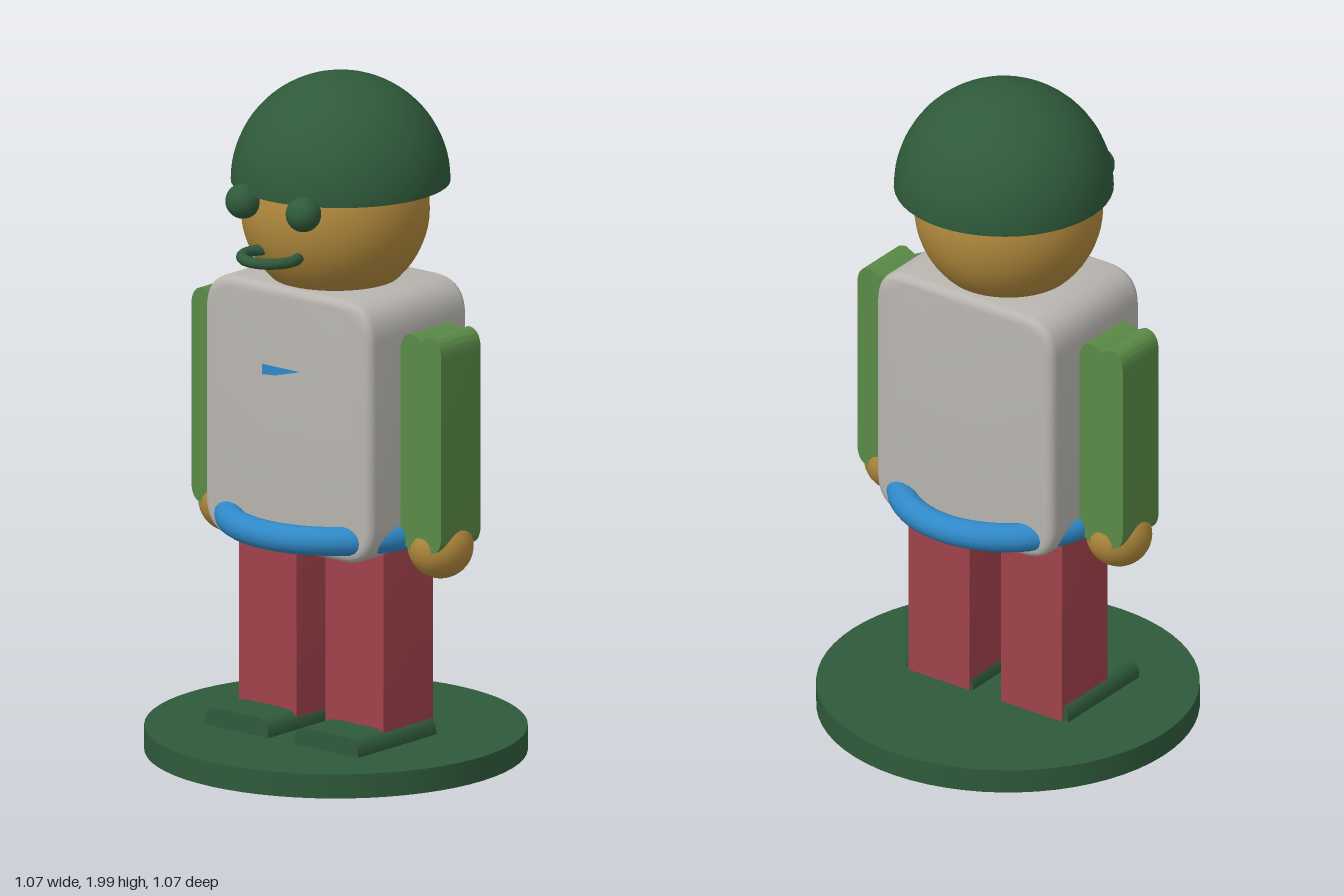
import * as THREE from 'three';
import { toCreasedNormals } from 'three/addons/utils/BufferGeometryUtils.js';

const paint = (name, color, side = THREE.FrontSide) => {
  const m = new THREE.MeshStandardMaterial({ color, side });
  m.name = name;
  return m;
};

// Rectangle with rounded corners, centred on the origin
function roundedRect(w, h, r) {
  const s = new THREE.Shape(), x = w / 2, y = h / 2;
  s.moveTo(-x + r, -y);
  s.lineTo(x - r, -y);
  s.quadraticCurveTo(x, -y, x, -y + r);
  s.lineTo(x, y - r);
  s.quadraticCurveTo(x, y, x - r, y);
  s.lineTo(-x + r, y);
  s.quadraticCurveTo(-x, y, -x, y - r);
  s.lineTo(-x, -y + r);
  s.quadraticCurveTo(-x, -y, -x + r, -y);
  return s;
}

// Limb outline: each end has two rounded lobes with a shallow crease between
function limbShape(w, h, r, dip) {
  const s = new THREE.Shape(), x = w / 2, y = h / 2, lobe = w * 0.2;
  s.moveTo(-x, -y + r);
  s.quadraticCurveTo(-x, -y, -lobe, -y);
  s.lineTo(0, -y + dip);
  s.lineTo(lobe, -y);
  s.quadraticCurveTo(x, -y, x, -y + r);
  s.lineTo(x, y - r);
  s.quadraticCurveTo(x, y, lobe, y);
  s.lineTo(0, y - dip);
  s.lineTo(-lobe, y);
  s.quadraticCurveTo(-x, y, -x, y - r);
  s.lineTo(-x, -y + r);
  return s;
}

// Extrude along z, centred, with an optional rounded edge
function slab(shape, depth, bevel = 0) {
  const g = new THREE.ExtrudeGeometry(shape, {
    depth: depth - 2 * bevel, curveSegments: 10, bevelEnabled: bevel > 0,
    bevelSize: bevel, bevelThickness: bevel, bevelOffset: -bevel, bevelSegments: 4,
  });
  g.translate(0, 0, bevel - depth / 2);
  return toCreasedNormals(g, 0.6);
}

export function createModel() {
  const model = new THREE.Group();
  const darkGreen = paint('dark green', 0x2f5a3a);
  const helmetGreen = darkGreen;
  helmetGreen.side = THREE.DoubleSide; // the helmet is an open shell
  const leafGreen = paint('leaf green', 0x5a8a47);
  const grey = paint('shirt grey', 0xb8b5b0);
  const red = paint('trouser red', 0xa0424a);
  const skin = paint('ochre skin', 0xb0883c);
  const blue = paint('belt blue', 0x3089c8);

  const add = (name, geometry, material, x, y, z) => {
    const mesh = new THREE.Mesh(geometry, material);
    mesh.name = name;
    mesh.position.set(x, y, z);
    model.add(mesh);
    return mesh;
  };

  // Stand
  add('base', new THREE.CylinderGeometry(0.537, 0.537, 0.07, 64), darkGreen, 0, 0.08, 0);

  // Body and belt ring
  add('torso', slab(roundedRect(0.615, 0.76, 0.11), 0.425, 0.025), grey, 0, 1.04, 0);
  add('belt', new THREE.TorusGeometry(0.3, 0.041, 16, 64), blue, 0, 0.726, 0).rotation.x = Math.PI / 2;

  // Small chest mark, nearly flush with the shirt
  const mark = new THREE.Shape([
    new THREE.Vector2(-0.09, 0), new THREE.Vector2(-0.09, -0.03),
    new THREE.Vector2(-0.04, -0.025), new THREE.Vector2(0.05, 0),
  ]);
  add('chestMark', slab(mark, 0.004), blue, 0, 1.188, 0.212);

  // Head, helmet and mouth ring
  add('head', new THREE.SphereGeometry(0.265, 48, 32), skin, 0, 1.615, 0.003);
  add('helmet', new THREE.SphereGeometry(0.308, 48, 20, 0, Math.PI * 2, 0, Math.PI / 2),
    helmetGreen, 0, 1.69, -0.02);
  add('mouth', new THREE.TorusGeometry(0.08, 0.016, 12, 40), darkGreen, 0, 1.528, 0.283)
    .rotation.x = Math.PI / 2;

  // Paired parts
  const armGeometry = slab(limbShape(0.15, 0.625, 0.06, 0.015), 0.17);
  const legGeometry = slab(limbShape(0.212, 0.72, 0.05, 0.012), 0.215);
  const shoeGeometry = slab(roundedRect(0.235, 0.11, 0.05), 0.337);
  const handGeometry = new THREE.SphereGeometry(0.093, 32, 20);
  const eyeGeometry = new THREE.SphereGeometry(0.05, 24, 16);
  for (const [side, s] of [['left', 1], ['right', -1]]) {
    add(side + 'Eye', eyeGeometry, darkGreen, s * 0.111, 1.668, 0.27);
    add(side + 'Arm', armGeometry, leafGreen, s * 0.385, 1.0125, 0);
    add(side + 'Hand', handGeometry, skin, s * 0.385, 0.702, 0);
    add(side + 'Leg', legGeometry, red, s * 0.16, 0.365, 0);
    add(side + 'Shoe', shoeGeometry, darkGreen, s * 0.165, 0.113, 0.067);
  }

  return model;
}
